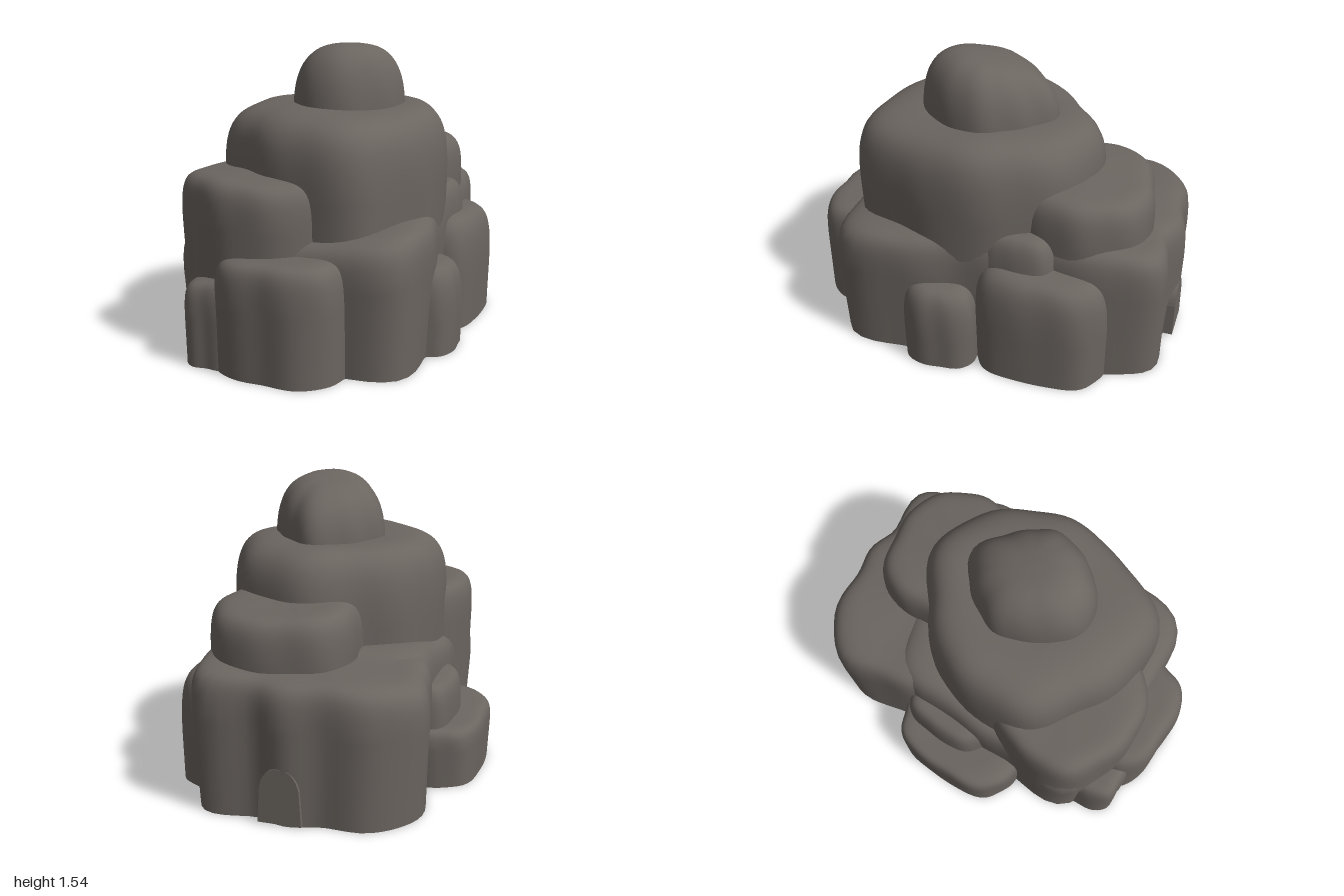
import * as THREE from 'three';

const SIDES = 72, RINGS = 18;

// Quarter superellipse, used for the side profile
const power = (v, p) => Math.pow(Math.max(v, 0), 2 / p);

// Outline from a box: a superellipse with shallow lobes (square sets the corner sharpness)
function boxOutline([x0, x1, z0, z1], square, seed) {
  const center = [(x0 + x1) / 2, (z0 + z1) / 2];
  const at = (c, s, a) => {
    const r = (Math.abs(c) ** square + Math.abs(s) ** square) ** (-1 / square) * (1 + 0.025 * Math.sin(5 * a + seed));
    return [(x1 - x0) / 2 * r * c, (z1 - z0) / 2 * r * s];
  };
  return { center, at };
}

// Outline from evenly spaced radii, turning from +x through the back
function radialOutline(center, radii) {
  const n = radii.length;
  const at = (c, s, a) => {
    const t = (a / (Math.PI * 2)) * n, i = Math.floor(t), w = t - i;
    const [p, q, u, v] = [-1, 0, 1, 2].map((k) => radii[(i + k + n) % n]);
    const r = q + 0.5 * w * (u - p + w * (2 * p - 5 * q + 4 * u - v + w * (3 * (q - u) + v - p)));
    return [r * c, r * s];
  };
  return { center, at };
}

// One worn rock: an outline lofted up to a rounded, tilted crown (round sets the shoulder sharpness)
function rockGeometry({ center: [cx, cz], at }, [y0, y1], { round = 8, tiltX = 0, tiltZ = 0, seed = 1 }) {
  const pos = [], idx = [];
  for (let k = 0; k <= RINGS; k++) {
    const u = (k / RINGS) * Math.PI / 2;
    const f = power(Math.sin(u), round), s = power(Math.cos(u), round);
    for (let i = 0; i < SIDES; i++) {
      const a = (i / SIDES) * Math.PI * 2;
      const [ox, oz] = at(Math.cos(a), -Math.sin(a), a);
      // Shallow upright flutes and a slightly undercut foot
      const wear = s * (1 + 0.01 * Math.sin(9 * a - seed + 2 * f) - 0.035 * (1 - f) ** 2);
      const dx = ox * wear, dz = oz * wear;
      const dent = 0.012 * Math.sin(6 * dx + seed) * Math.cos(7 * dz - seed);
      pos.push(cx + dx, y0 + f * (y1 - y0 + tiltX * dx + tiltZ * dz + dent), cz + dz);
    }
  }
  for (let k = 0; k < RINGS; k++) {
    for (let i = 0; i < SIDES; i++) {
      const a = k * SIDES + i, b = k * SIDES + (i + 1) % SIDES;
      idx.push(a, b, b + SIDES, a, b + SIDES, a + SIDES);
    }
  }
  // Flat underside with its own vertices
  const base = pos.length / 3;
  for (let i = 0; i < SIDES * 3; i++) pos.push(pos[i]);
  pos.push(cx, y0, cz);
  for (let i = 0; i < SIDES; i++) idx.push(base + (i + 1) % SIDES, base + i, base + SIDES);

  const g = new THREE.BufferGeometry();
  g.setAttribute('position', new THREE.Float32BufferAttribute(pos, 3));
  g.setIndex(idx);
  g.computeVertexNormals();
  return g;
}

export function createModel() {
  const stone = new THREE.MeshStandardMaterial({ color: 0x6b6560 });
  stone.name = 'grey brown stone';
  const group = new THREE.Group();
  group.name = 'rockFormation';

  const add = (name, geometry) => {
    const mesh = new THREE.Mesh(geometry, stone);
    mesh.name = name;
    group.add(mesh);
    return mesh;
  };
  const mass = (name, center, radii, heights, shape) =>
    add(name, rockGeometry(radialOutline(center, radii), heights, shape));
  const boulder = (name, box, square, heights, shape) =>
    add(name, rockGeometry(boxOutline(box, square, shape.seed), heights, shape));

  // Stacked core, top to bottom
  mass('summit', [0.1, 0.04], [0.31, 0.29, 0.3, 0.36, 0.31, 0.29, 0.3, 0.29, 0.33, 0.37, 0.34, 0.31],
    [1.05, 1.51], { round: 3.2, tiltX: 0.08, tiltZ: 0.14, seed: 1 });
  mass('upperTier', [0.07, 0.08], [0.56, 0.57, 0.62, 0.64, 0.55, 0.56, 0.56, 0.6, 0.57, 0.62, 0.67, 0.56],
    [0.45, 1.225], { round: 6.5, seed: 2 });
  mass('frontShelf', [-0.18, 0.45], [0.37, 0.4, 0.4, 0.4, 0.4, 0.38, 0.375, 0.42, 0.4, 0.41, 0.44, 0.45],
    [0.35, 0.93], { round: 9, seed: 3 });
  mass('lowerCore', [0.05, 0.1], [0.58, 0.6, 0.65, 0.7, 0.7, 0.7, 0.75, 0.63, 0.59, 0.63, 0.82, 0.76, 0.69, 0.74, 0.83, 0.68],
    [0, 0.71], { round: 11, tiltX: 0.04, tiltZ: -0.08, seed: 4 });

  // Front foot
  boulder('frontFoot', [-0.28, 0.4, 0.45, 0.99], 2.6, [0, 0.575], { round: 9, seed: 0.5 });
  boulder('frontFootBoulder', [-0.45, -0.11, 0.5, 0.92], 3, [0, 0.44], { tiltX: 0.12, seed: 6 });

  // Boulders along the -x side
  boulder('rightFootBoulder', [-0.77, -0.3, -0.36, 0.39], 2.4, [0, 0.33], { round: 10, tiltX: 0.08, seed: 8 });
  boulder('rightSideBoulder', [-0.63, -0.3, -0.34, 0.18], 2.6, [0, 0.55], { tiltX: 0.15, seed: 9 });

  // Boulders along the +x side
  boulder('leftFootBoulder', [0.45, 0.76, -0.05, 0.36], 2.4, [0, 0.46], { round: 5, tiltX: -0.2, seed: 10 });
  boulder('leftRearShoulder', [0.3, 0.74, -0.72, 0.0], 2.4, [0, 0.62], { round: 6, tiltX: -0.15, seed: 11 });
  boulder('leftRearKnob', [0.3, 0.63, -0.46, -0.02], 2.5, [0.3, 0.78], { round: 5, seed: 12 });

  // Back masses
  mass('backMass', [0, -0.5], [0.56, 0.6, 0.63, 0.48, 0.49, 0.49, 0.6, 0.65, 0.59, 0.57, 0.5, 0.4, 0.4, 0.4, 0.5, 0.57],
    [0, 0.73], { round: 11, tiltX: 0.06, tiltZ: 0.06, seed: 13 });
  boulder('backShelf', [-0.22, 0.54, -0.84, -0.1], 2.5, [0.4, 0.985], { round: 8, tiltZ: 0.05, seed: 14 });

  // Small arched slab set into the back wall
  const arch = new THREE.Shape();
  arch.moveTo(-0.11, 0);
  arch.lineTo(0.11, 0);
  arch.lineTo(0.1, 0.18);
  arch.quadraticCurveTo(0.08, 0.28, 0, 0.28);
  arch.quadraticCurveTo(-0.08, 0.28, -0.1, 0.18);
  const slab = add('backArchSlab', new THREE.ExtrudeGeometry(arch, { depth: 0.1, bevelEnabled: false, curveSegments: 8 }));
  slab.position.set(0.02, 0.01, -0.985);

  return group;
}
